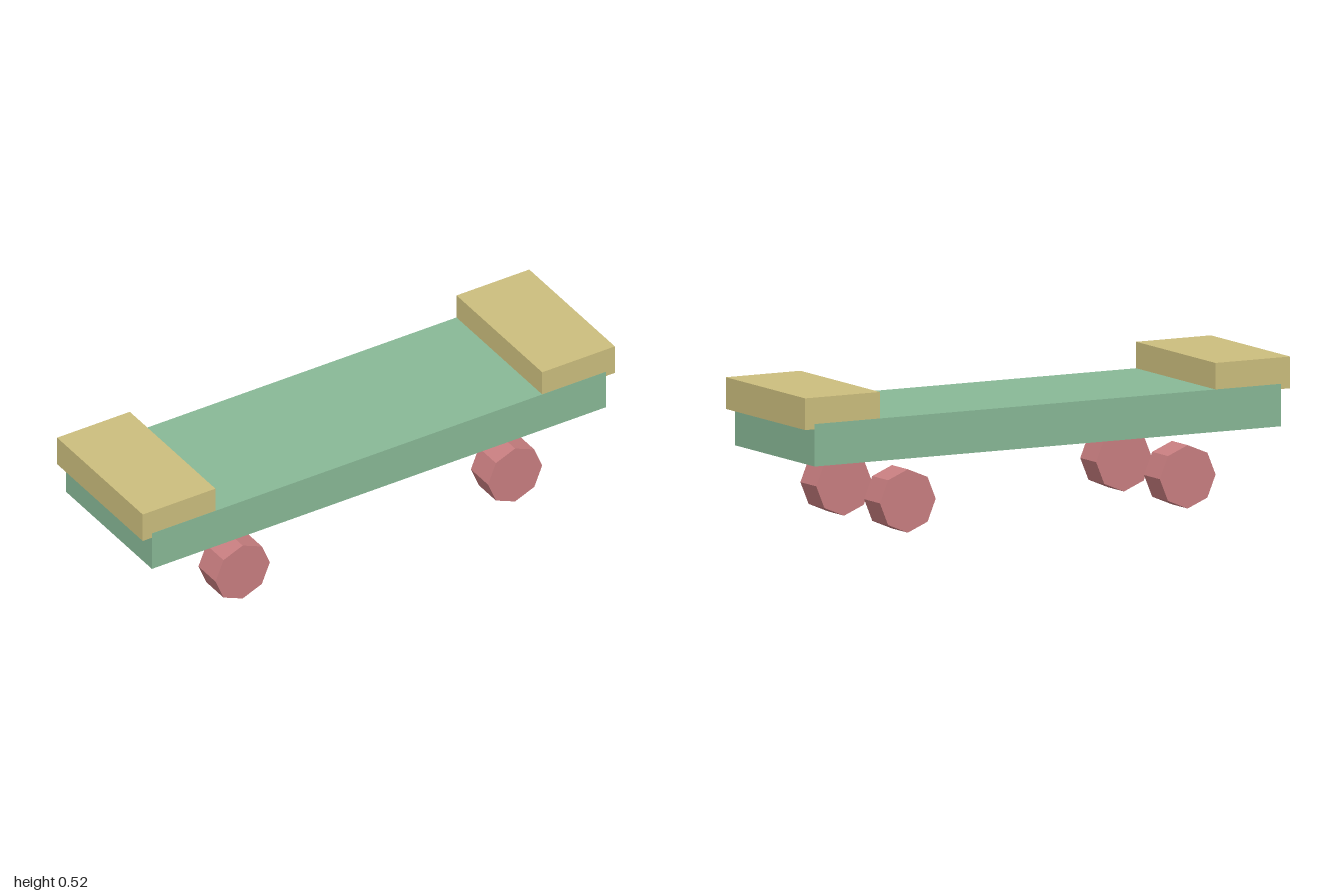
import * as THREE from 'three';

export function createModel() {
  const model = new THREE.Group();
  model.name = 'skateboard';

  const paint = (name, color) => {
    const m = new THREE.MeshStandardMaterial({ color });
    m.name = name;
    return m;
  };
  const green = paint('sage green', 0x88b896);
  const tan = paint('tan', 0xcbbd7d);
  const pink = paint('dusty pink', 0xc87e80);
  pink.flatShading = true;

  const add = (name, geometry, material, x, y, z) => {
    const mesh = new THREE.Mesh(geometry, material);
    mesh.name = name;
    mesh.position.set(x, y, z);
    model.add(mesh);
  };

  // Flat deck
  add('deck', new THREE.BoxGeometry(1.923, 0.154, 0.577), green, 0, 0.346, 0);

  // Raised end blocks, a hair narrower so they never share a side face with the deck
  const endBlock = new THREE.BoxGeometry(0.308, 0.115, 0.576);
  // Eight-sided wheels with a corner pointing straight down
  const wheel = new THREE.CylinderGeometry(0.115, 0.115, 0.115, 8).rotateX(Math.PI / 2);

  for (const sx of [-1, 1]) {
    const side = sx > 0 ? 'left' : 'right';
    add(side + 'EndBlock', endBlock, tan, sx * 0.846, 0.4615, 0);
    for (const sz of [-1, 1]) {
      add(side + (sz > 0 ? 'Front' : 'Back') + 'Wheel', wheel, pink, sx * 0.577, 0.115, sz * 0.231);
    }
  }
  return model;
}
